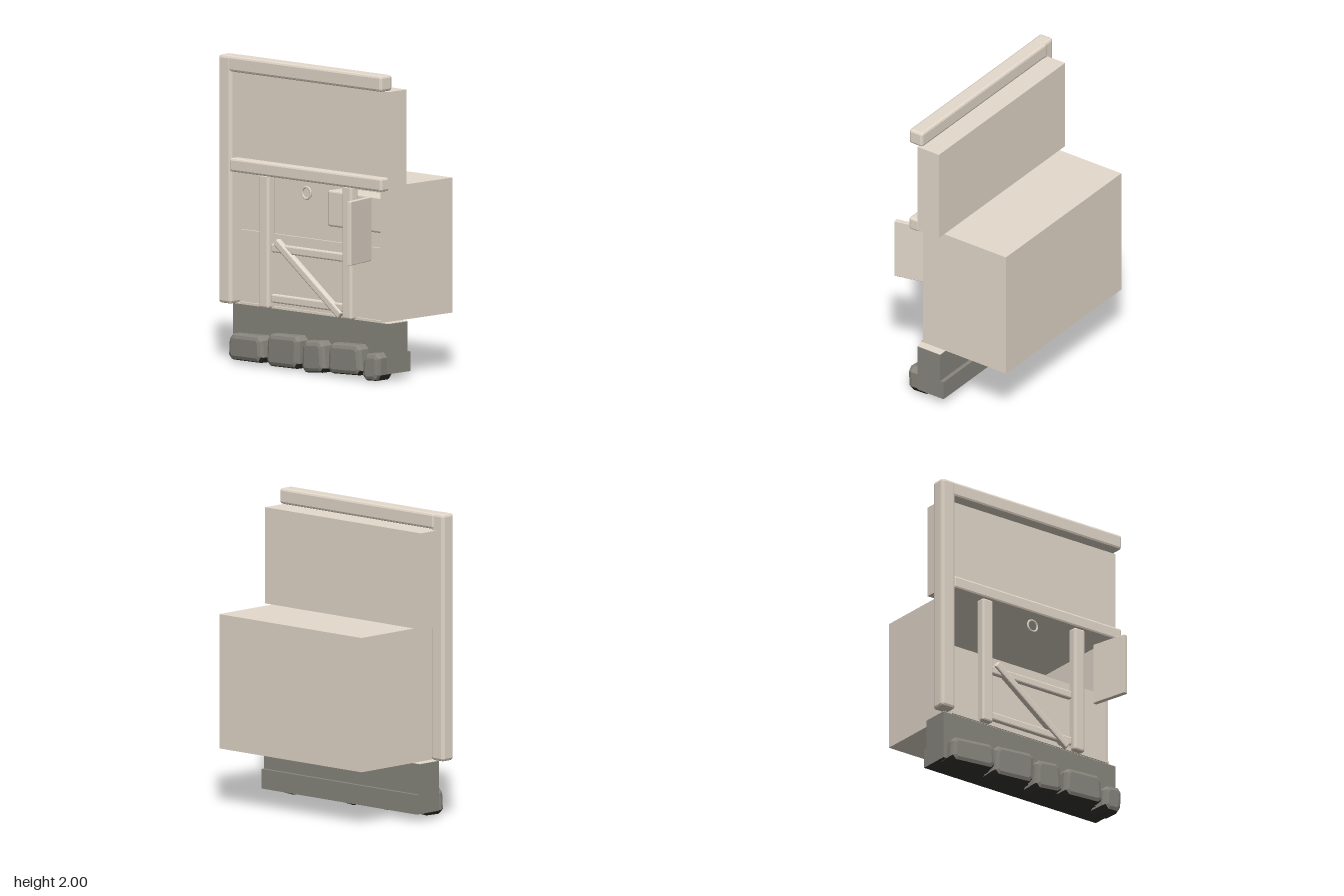
import * as THREE from 'three';
import { RoundedBoxGeometry } from 'three/addons/geometries/RoundedBoxGeometry.js';

export function createModel() {
  const model = new THREE.Group();
  model.name = 'wallSection';

  const timber = new THREE.MeshStandardMaterial({ color: 0xe5dacc });
  timber.name = 'paleTimber';
  const stone = new THREE.MeshStandardMaterial({ color: 0x88867e });
  stone.name = 'greyStone';
  const darkStone = new THREE.MeshStandardMaterial({ color: 0x383733 });
  darkStone.name = 'darkStone';

  const add = (name, geometry, material = timber) => {
    const mesh = new THREE.Mesh(geometry, material);
    mesh.name = name;
    model.add(mesh);
    return mesh;
  };

  // Box given by its limits on each axis; a bevel gives crisp chamfered edges
  const block = (name, [x0, x1], [y0, y1], [z0, z1], bevel = 0, material = timber) => {
    const size = [x1 - x0, y1 - y0, z1 - z0];
    const geometry = bevel
      ? new RoundedBoxGeometry(...size, 1, bevel)
      : new THREE.BoxGeometry(...size);
    if (bevel) geometry.computeVertexNormals();
    const mesh = add(name, geometry, material);
    mesh.position.set((x0 + x1) / 2, (y0 + y1) / 2, (z0 + z1) / 2);
    return mesh;
  };

  // Hollow bay, open at the upper front
  const t = 0.01;
  block('bayBack', [-0.608, 0.665], [0.38, 1.26], [-0.46, -0.46 + t]);
  block('bayRightWall', [-0.608, -0.608 + t], [0.38, 1.26], [-0.45, 0.2]);
  block('bayLeftWall', [0.665 - t, 0.665], [0.38, 1.26], [-0.45, 0.2]);
  block('bayRoof', [-0.598, 0.655], [1.26 - t, 1.26], [-0.45, 0.2]);
  block('bayFloor', [-0.598, 0.655], [0.38, 0.38 + t], [-0.45, 0.2]);
  block('lowerPanel', [-0.598, 0.655], [0.39, 0.865], [0.18, 0.195]);
  block('sill', [-0.6, 0.665], [0.38, 0.395], [0.19, 0.21]);

  // Cabinet at the back of the bay
  block('cabinet', [-0.293, 0.352], [0.865, 1.1], [-0.45, -0.29], 0.012);

  // Upper wall and its timber frame
  block('upperWall', [-0.668, 0.725], [1.26, 1.89], [0.03, 0.2]);
  block('cornerPost', [-0.731, -0.622], [0.382, 2], [0.169, 0.271], 0.018);
  block('topBeam', [-0.655, 0.725], [1.896, 1.999], [0.162, 0.269], 0.016);
  block('middleBeam', [-0.635, 0.725], [1.245, 1.333], [0.19, 0.269], 0.014);
  for (const x of [-0.345, 0.399]) {
    block('doorPost', [x - 0.042, x + 0.042], [0.382, 1.25], [0.185, 0.252], 0.012);
  }

  // Cross rails and diagonal brace
  for (const y of [0.775, 0.447]) {
    block('crossRail', [-0.305, 0.357], [y - 0.028, y + 0.028], [0.19, 0.225], 0.01);
  }
  const brace = block('brace', [-0.33, 0.39], [0.582, 0.634], [0.195, 0.238], 0.01);
  brace.rotation.z = Math.atan2(-0.42, 0.57);

  // Ring hanging below the middle beam
  const ring = add('hangingRing', new THREE.TorusGeometry(0.038, 0.007, 8, 24));
  ring.position.set(0.027, 1.168, 0.235);

  // Open shutter, hinged on the wall
  const shutter = block('shutter', [0.573, 0.604], [0.776, 1.192], [0.196, 0.456], 0.004);
  shutter.rotation.y = 0.235;
  shutter.position.x = 0.588;

  // Stepped stone footing with a pale ledge on top and a dark underside
  block('footingTop', [-0.668, 0.725], [0.18, 0.378], [0.02, 0.2], 0, stone);
  block('footingBase', [-0.668, 0.725], [0.052, 0.18], [-0.007, 0.2], 0,
    [stone, stone, stone, darkStone, stone, stone]);
  block('footingLedge', [-0.668, 0.725], [0.378, 0.381], [0.02, 0.2]);

  // Gives the downward faces of an unindexed geometry the second material
  const splitUnderside = (geometry) => {
    const normal = geometry.attributes.normal;
    geometry.clearGroups();
    for (let i = 0; i < normal.count; i += 3) {
      geometry.addGroup(i, 3, normal.getY(i) < -0.55 ? 1 : 0);
    }
    return geometry;
  };

  // Facing stones: irregular chamfered slabs, [x0, x1, y0, y1, taper, lean, front z]
  const stones = [
    [-0.65, -0.32, 0.02, 0.2, 0.012, 0.1, 0.288],
    [-0.305, -0.005, 0.012, 0.232, -0.012, 0.07, 0.285],
    [0.02, 0.228, 0.005, 0.22, 0.02, 0.05, 0.29],
    [0.258, 0.558, 0.022, 0.228, 0.018, 0.02, 0.29],
    [0.573, 0.714, 0.006, 0.19, -0.008, -0.05, 0.29],
  ];
  const bevel = 0.03;
  for (const [x0, x1, y0, y1, taper, lean, front] of stones) {
    const w = (x1 - x0) / 2 - bevel, h = (y1 - y0) / 2 - bevel, c = 0.012;
    const outline = [
      [-w + c, -h], [w - c, -h + Math.abs(taper) * 0.5], [w, -h + c + 0.01],
      [w - taper * 0.6, h - c], [w - c - taper * 0.6, h],
      [-w + c + 0.008, h - 0.008], [-w + 0.006, h - c - 0.012], [-w, -h + c],
    ].map(([x, y]) => new THREE.Vector2(x, y));
    const geometry = new THREE.ExtrudeGeometry(new THREE.Shape(outline), {
      depth: 0.1, bevelEnabled: true, bevelThickness: 0.03, bevelSize: bevel, bevelSegments: 2,
    });
    geometry.translate(0, 0, -0.13);
    const mesh = add('facingStone', splitUnderside(geometry), [stone, darkStone]);
    mesh.position.set((x0 + x1) / 2, (y0 + y1) / 2, front);
    mesh.rotation.y = -lean;
  }

  return model;
}
